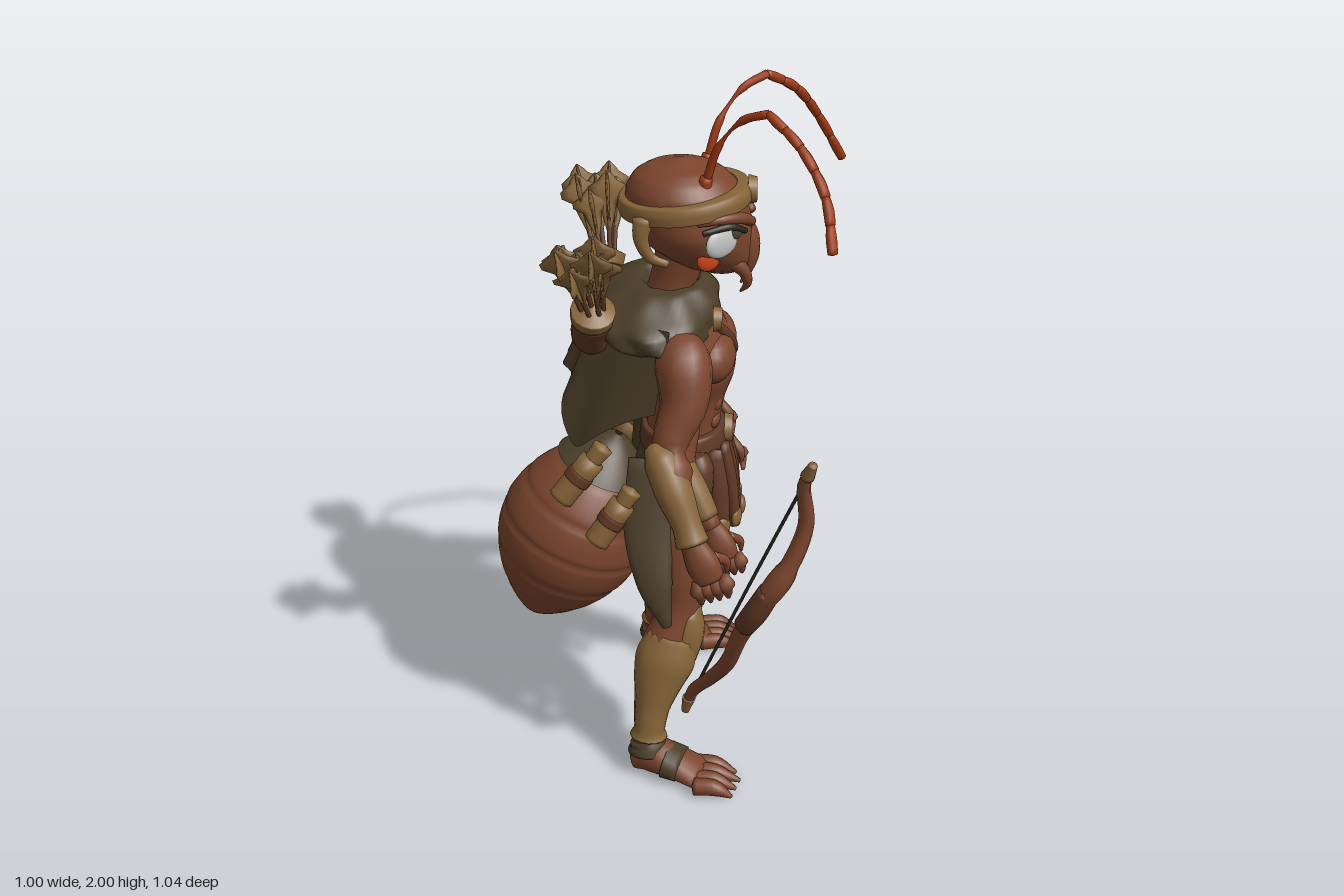
import * as THREE from 'three';

const mat = (name, color) => {
  const m = new THREE.MeshStandardMaterial({ color, side: THREE.DoubleSide });
  m.name = name;
  return m;
};
const V = (x, y, z) => new THREE.Vector3(x, y, z);
const UP = V(0, 1, 0);

// Skin over elliptical cross-sections; each point is [x, y, z, radius, radiusAcross]
function sweep(pts, { flat = false, open = false, seg = 16, steps = 5, ripple = 0, folds = 9 } = {}) {
  const path = new THREE.CatmullRomCurve3(pts.map(p => V(p[0], p[1], p[2])));
  const radii = new THREE.CatmullRomCurve3(pts.map(p => V(p[3], p[4] ?? p[3], 0)));
  const dir = path.getPoint(1).sub(path.getPoint(0)).normalize();
  const ref = Math.abs(dir.x) > 0.75 ? UP : V(1, 0, 0);
  const n = (pts.length - 1) * steps, rings = [];
  for (let i = 0; i <= n; i++) {
    const T = flat ? UP : path.getTangent(i / n), r = radii.getPoint(i / n);
    const N = ref.clone().addScaledVector(T, -T.dot(ref)).normalize();
    rings.push({ c: path.getPoint(i / n), T, N, B: T.clone().cross(N), a: Math.max(r.x, 0.0005), b: Math.max(r.y, 0.0005) });
  }
  if (!open) {
    const end = (r, s) => ({ ...r, c: r.c.clone().addScaledVector(r.T, s * 0.3 * Math.min(r.a, r.b)), a: 0.0003, b: 0.0003 });
    rings.unshift(end(rings[0], -1));
    rings.push(end(rings[rings.length - 1], 1));
  }
  const pos = [], idx = [];
  rings.forEach((r, i) => {
    for (let j = 0; j < seg; j++) {
      const t = (j / seg) * Math.PI * 2, k = 1 + ripple * Math.sin(folds * t + i * 0.35);
      const p = r.c.clone().addScaledVector(r.N, Math.cos(t) * r.a * k).addScaledVector(r.B, Math.sin(t) * r.b * k);
      pos.push(p.x, p.y, p.z);
      if (i < rings.length - 1) {
        const a = i * seg + j, b = i * seg + (j + 1) % seg;
        idx.push(a, b, b + seg, a, b + seg, a + seg);
      }
    }
  });
  const g = new THREE.BufferGeometry();
  g.setAttribute('position', new THREE.Float32BufferAttribute(pos, 3));
  g.setIndex(idx);
  g.computeVertexNormals();
  return g;
}
// Upright body of level ellipses [x, y, radiusX, radiusZ], listed from the bottom up
const loft = (rings, opt = {}) => sweep(rings.map(([x, y, a, b]) => [x, y, 0, a, b]), { flat: true, seg: 32, ...opt });

export function createModel() {
  const M = {
    skin: mat('chestnut shell', 0x7b452d), leather: mat('dark leather', 0x5f3825),
    cloth: mat('olive cloth', 0x4b3d29), tan: mat('tan armour', 0x866438),
    rust: mat('rust antenna', 0xa03a13), white: mat('eye white', 0xc4c6c6),
    dark: mat('dark string and lashes', 0x2e2822), iris: mat('olive iris', 0x4e4830), orange: mat('orange cheek', 0xd2481a),
  };
  const root = new THREE.Group();
  const add = (name, geo, m) => {
    const mesh = new THREE.Mesh(geo, m);
    mesh.name = name;
    root.add(mesh);
    return mesh;
  };
  const blob = (name, p, s, m, ry = 0) => {
    const b = add(name, new THREE.SphereGeometry(1, 18, 12), m);
    b.position.set(...p); b.scale.set(...s); b.rotation.y = ry;
  };
  const disc = (name, x, y, z, r) => {
    const d = add(name, new THREE.CylinderGeometry(r * 0.85, r, 0.025, 20), M.tan);
    d.position.set(x, y, z); d.rotation.z = -Math.PI / 2;
  };

  // Torso and neck
  add('torso', loft([[.03, .74, .08, .1], [.045, .86, .11, .14], [.05, .95, .115, .14], [.05, 1.03, .105, .125], [.06, 1.12, .11, .125],
    [.07, 1.2, .125, .155], [.06, 1.28, .13, .18], [.03, 1.36, .12, .19], [.02, 1.43, .07, .1]]), M.skin);
  add('neck', sweep([[.0, 1.36, 0, .08], [.02, 1.46, 0, .065], [.05, 1.57, 0, .075]]), M.skin);

  // Head, beak and tilted headband
  add('head', loft([[.15, 1.495, .05, .04], [.135, 1.515, .095, .075], [.11, 1.55, .125, .115], [.085, 1.59, .15, .148], [.07, 1.64, .163, .163],
    [.055, 1.69, .165, .158], [.045, 1.735, .152, .146], [.04, 1.768, .127, .122], [.04, 1.79, .09, .088], [.04, 1.801, .045, .045]]), M.skin);
  add('beak', sweep([[.16, 1.66, 0, .04, .04], [.21, 1.6, 0, .04, .042], [.223, 1.54, 0, .032, .04], [.215, 1.49, 0, .02, .03]]), M.skin);
  const band = new THREE.Group();
  band.name = 'headband';
  const ring = new THREE.Mesh(loft([[0, -.028, .155, .152], [0, -.024, .18, .174], [0, 0, .184, .175], [0, .022, .176, .168], [0, .026, .145, .14]], { open: true }), M.tan);
  ring.name = 'headbandRing';
  band.add(ring);
  band.position.set(.05, 1.705, 0);
  band.rotation.z = .12;
  root.add(band);
  disc('headbandMedallion', .232, 1.725, 0, .04);

  // Cloak collar and cape with two long side points
  add('cloakCollar', loft([[-.02, 1.325, .12, .225], [-.03, 1.35, .175, .262], [-.035, 1.39, .185, .255], [-.025, 1.43, .17, .2], [0, 1.47, .115, .145], [.01, 1.475, .085, .11], [.01, 1.44, .06, .08]],
    { open: true, ripple: .03, seg: 64 }), M.cloth);
  const cape = new THREE.PlaneGeometry(2, 1, 48, 16), cp = cape.attributes.position;
  for (let i = 0; i < cp.count; i++) {
    const u = cp.getX(i), v = .5 - cp.getY(i), w = Math.abs(u);
    const drop = .2 + .18 * Math.exp(-(((w - .68) / .24) ** 2));
    cp.setXYZ(i, -.2 - .15 * v * (drop / .38) + (.22 + .04 * v) * w ** 2.6 + .012 * v * Math.sin(u * 17), 1.41 - drop * v, -u * (.24 + .035 * v));
  }
  cape.computeVertexNormals();
  add('cape', cape, M.cloth);
  disc('cloakBrooch', .145, 1.39, .105, .036);

  // Leather strap across the chest
  const strap = [];
  for (let i = 0; i <= 12; i++) {
    const t = i / 12;
    strap.push([.14 + .065 * Math.sin(t * Math.PI) - .07 * t * t, 1.36 - .27 * t, .08 - .24 * t, .012, .016]);
  }
  add('chestStrap', sweep(strap, { steps: 2, seg: 8 }), M.leather);

  // Belt, buckle and skirt of studded straps
  add('belt', loft([[.05, .965, .11, .13], [.05, .97, .127, .152], [.05, 1.025, .12, .142], [.05, 1.03, .1, .12]], { open: true }), M.leather);
  disc('beltBuckle', .18, 1.0, 0, .045);
  for (let i = -4; i <= 4; i++) {
    const a = i * .4, c = Math.cos(a), s = Math.sin(a), low = .72 + .006 * Math.abs(i);
    const at = (r, q, y, w) => [.05 + r * c, y, q * s, .01 + (w - .01) * Math.abs(s), w + (.01 - w) * Math.abs(s)];
    add('skirtStrap', sweep([at(.125, .15, .98, .032), at(.15, .18, .86, .038), at(.165, .205, low, .03)], { seg: 10 }), M.leather);
    blob('strapStud', [.05 + .172 * c, low + .025, .212 * s], [.012, .03, .027], M.tan, -a);
  }
  add('underSkirt', loft([[.0, .72, .125, .17], [.02, .8, .13, .17], [.045, .97, .115, .145]], { open: true, ripple: .03, folds: 11, seg: 64 }), M.cloth);

  // Segmented abdomen with a cloth draped over its top
  const env = u => .222 * Math.pow(Math.sin(Math.PI * u), .75), prof = [], drape = [];
  for (let i = 0; i <= 60; i++) {
    const u = i / 60, f = (u * 6) % 1;
    prof.push(new THREE.Vector2(Math.max(.0005, env(u) * (.972 + .03 * Math.min(1, f * 7) - .008 * f)), -.36 + .67 * u));
    if (u > .83) drape.push(new THREE.Vector2(env(u) * 1.01 + .01, -.36 + .675 * u + .006));
  }
  for (const [name, p, m] of [['abdomen', prof, M.skin], ['abdomenDrape', drape, M.cloth]]) {
    const g = add(name, new THREE.LatheGeometry(p, 40), m);
    g.position.set(-.265, .68, 0); g.rotation.z = -.41;
  }

  for (const s of [1, -1]) {
    const part = (name, pts, m, opt) => add(name, sweep(pts.map(([x, y, z, ...r]) => [x, y, z * s, ...r]), opt), m);
    const lump = (name, [x, y, z], size, m, ry = 0) => blob(name, [x, y, z * s], size, m, ry * s);

    // Muscles
    lump('chestMuscle', [.137, 1.262, .08], [.058, .07, .092], M.skin, -.25);
    for (let k = 0; k < 3; k++) lump('bellyMuscle', [.142 - .005 * k, 1.165 - .055 * k, .04], [.025, .032, .042], M.skin);

    // Face: eye, lashes, brow, cheek mark, mandible and cheek guard
    lump('eyeWhite', [.153, 1.625, .135], [.058, .043, .016], M.white, .8);
    lump('iris', [.191, 1.645, .108], [.02, .02, .01], M.iris, .85);
    part('lashes', [[.215, 1.64, .085, .008], [.175, 1.668, .132, .01], [.105, 1.66, .165, .008]], M.dark, { seg: 8 });
    part('brow', [[.23, 1.65, .04, .014], [.205, 1.677, .09, .016], [.15, 1.69, .14, .013], [.09, 1.68, .158, .005]], M.skin);
    lump('cheekMark', [.118, 1.572, .128], [.034, .033, .012], M.orange, .45);
    part('mandible', [[.17, 1.55, .06, .025], [.213, 1.51, .052, .018], [.223, 1.47, .042, .012], [.205, 1.44, .03, .003]], M.skin);
    part('cheekGuard', [[-.055, 1.69, .14, .028, .014], [-.06, 1.63, .143, .02, .014], [-.035, 1.58, .14, .015, .012], [.01, 1.56, .135, .011]], M.tan);

    // Antenna: stalk, then a beaded whip
    part('antennaSocket', [[.1, 1.74, .085, .022], [.11, 1.79, .092, .016]], M.rust);
    part('antennaStalk', [[.11, 1.78, .09, .012], [.14, 1.88, .11, .011], [.2, 1.96, .14, .011], [.265, 1.99, .175, .012]], M.rust, { seg: 8 });
    const tip = s > 0 ? [.43, 1.71, .41] : [.49, 1.68, .395];
    const whip = new THREE.CatmullRomCurve3([V(.265, 1.99, .175), V(.345, 1.93, .25), V(.41, 1.83, .335), V(...tip)]);
    for (let k = 0; k < 6; k++) {
      const [a, b, c] = [0, .5, 1].map(f => whip.getPoint((k + f) / 6).toArray());
      part('antennaBead', [[...a, .011], [...b, .014], [...c, .013]], M.rust, { seg: 8, steps: 3 });
    }

    // Upper arm with bracer, lower arm with bracer, each with a clawed hand
    part('upperArm', [[.03, 1.36, .17, .055], [.055, 1.31, .23, .078], [.06, 1.22, .275, .066], [.025, 1.12, .325, .05], [.035, 1.03, .38, .05], [.085, .89, .445, .032]], M.skin);
    part('upperBracer', [[-.025, 1.125, .35, .022, .022], [.0, 1.09, .362, .048], [.035, 1.02, .396, .052], [.075, .93, .434, .041], [.09, .885, .45, .047]], M.tan);
    part('lowerArm', [[.06, 1.17, .1, .05], [.05, 1.1, .18, .052], [.05, 1.0, .225, .042], [.09, .93, .255, .036], [.14, .84, .29, .028]], M.skin);
    part('lowerBracer', [[.045, 1.0, .228, .045], [.09, .93, .257, .041], [.125, .865, .28, .036]], M.tan);
    for (const [x, y, z, k] of [[.12, .83, .47, 1], [.165, .79, .3, .88]]) {
      part('palm', [[x - .035 * k, y + .07 * k, z - .015, .03 * k], [x, y, z, .046 * k, .03 * k], [x + .02 * k, y - .045 * k, z + .005, .04 * k, .024 * k]], M.skin);
      for (let f = 0; f < 4; f++) {
        const fx = x + (-.018 + .024 * f) * k, fy = y - (.05 - .008 * f) * k;
        part('finger', [[fx, fy, z + .005, .015 * k], [fx + .012 * k, fy - .04 * k, z + .014, .015 * k], [fx + .016 * k, fy - .08 * k, z - .01, .006]], M.skin, { seg: 8 });
      }
      part('thumb', [[x + .025 * k, y + .02, z - .015, .016 * k], [x + .06 * k, y - .01, z - .04, .014 * k], [x + .065 * k, y - .05 * k, z - .045, .005]], M.skin, { seg: 8 });
    }

    // Leg, with a flared greave and knee plate set towards its front and outside
    part('leg', [[.035, .88, .085, .085], [.05, .74, .13, .103], [.055, .6, .17, .085], [.045, .5, .198, .062], [.0, .37, .23, .072], [-.03, .24, .27, .052], [-.04, .12, .3, .042], [-.04, .05, .31, .045]], M.skin);
    part('greave', [[.03, .43, .226, .074, .058], [.008, .36, .247, .088, .066], [-.01, .3, .264, .075, .06], [-.028, .21, .29, .05, .046], [-.036, .15, .303, .046, .044], [-.038, .125, .305, .056, .052]], M.tan);
    part('kneePlate', [[.05, .36, .228, .05, .05], [.068, .43, .212, .054, .06], [.08, .49, .2, .042, .056], [.1, .525, .195, .016, .03]], M.tan);

    // Foot with wraps and clawed toes
    part('foot', [[-.08, .045, .3, .04, .042], [-.03, .06, .31, .055, .055], [.05, .045, .335, .042, .062], [.12, .028, .36, .026, .066]], M.skin);
    part('ankleWrap', [[-.045, .11, .302, .05], [-.04, .09, .306, .056], [-.04, .07, .31, .06]], M.cloth);
    part('footWrap', [[.015, .052, .325, .05, .066], [.06, .044, .338, .043, .068]], M.cloth);
    for (let k = 0; k < 4; k++) {
      const z = .305 + .037 * k, l = .235 - .012 * Math.abs(k - 1);
      part('toe', [[.1, .028, z + .003, .026], [.16, .03, z + .01, .024], [l, .008, z + .02, .006]], M.skin, { seg: 10 });
    }

    // Hip cloth, pouch and belt flasks
    part('hipCloth', [[-.02, .97, .15, .08, .012], [-.04, .78, .21, .072, .018], [-.02, .62, .262, .05, .02], [.015, .5, .285, .015, .014]], M.cloth);
    part('beltPouch', [[.1, .89, .175, .04, .045], [.1, .95, .17, .042, .048], [.09, .99, .155, .035, .04]], M.leather);
    for (const [x, y, z, dx, dy] of [[-.185, .77, .265, .1, .15], [-.285, .89, .235, .12, .15]].slice(0, s > 0 ? 2 : 1)) {
      part('beltFlask', [[x, y, z, .037], [x + dx * .75, y + dy * .75, z - .02, .037]], M.tan);
      part('flaskBand', [[x + dx * .35, y + dy * .35, z - .009, .04], [x + dx * .5, y + dy * .5, z - .014, .04]], M.leather);
      part('flaskNeck', [[x + dx * .75, y + dy * .75, z - .02, .025], [x + dx, y + dy, z - .03, .03]], M.tan);
    }

    // Quiver with a bundle of vaned arrows
    part('quiver', [s > 0 ? [-.19, 1.33, .13, .045] : [-.22, 1.23, .05, .045], [-.2, 1.36, .15, .052], [-.185, 1.43, .195, .054]], M.leather);
    part('quiverRim', [[-.19, 1.425, .192, .059], [-.185, 1.455, .207, .061]], M.tan);
    for (let k = 0; k < 8; k++) {
      const c = k ? Math.cos(k * .9) : 0, d = k ? Math.sin(k * .9) : 0, h = .025 * Math.sin(k * 2.3);
      const at = (t, r) => [-.185 - .03 * t + c * (.028 + .03 * t), 1.44 + (.205 + h) * t, .2 + .09 * t + d * (.028 + .03 * t), ...r];
      part('arrowShaft', [at(0, [.007]), at(.9, [.007])], M.leather, { seg: 6 });
      const vane = (p, q) => part('arrowFletching', [at(.3, [.004, .004]), at(.7, [p, q]), at(.95, [p, q]), at(1.06, [.003, .003])], M.tan, { seg: 6, steps: 3 });
      vane(.026, .005);
      vane(.005, .026);
    }
  }

  // Recurve bow, grip wrap and string
  add('bow', sweep([[.4, 1.17, .52, .012], [.38, 1.1, .495, .018], [.39, .97, .48, .022], [.35, .85, .495, .026], [.28, .73, .5, .026], [.225, .6, .46, .025],
    [.19, .47, .41, .023], [.14, .36, .34, .02], [.09, .28, .295, .018], [.07, .2, .28, .01]], { seg: 10 }), M.skin);
  add('bowGrip', sweep([[.3, .77, .5, .032], [.265, .7, .494, .034], [.235, .64, .475, .031]]), M.leather);
  add('bowTip', sweep([[.4, 1.175, .522, .012], [.387, 1.13, .504, .02]], { seg: 10 }), M.tan);
  add('bowTip', sweep([[.08, .25, .286, .02], [.069, .198, .279, .012]], { seg: 10 }), M.tan);
  add('bowString', sweep([[.385, 1.12, .5, .005], [.24, .71, .4, .005], [.09, .27, .292, .005]], { seg: 6 }), M.dark);
  return root;
}
